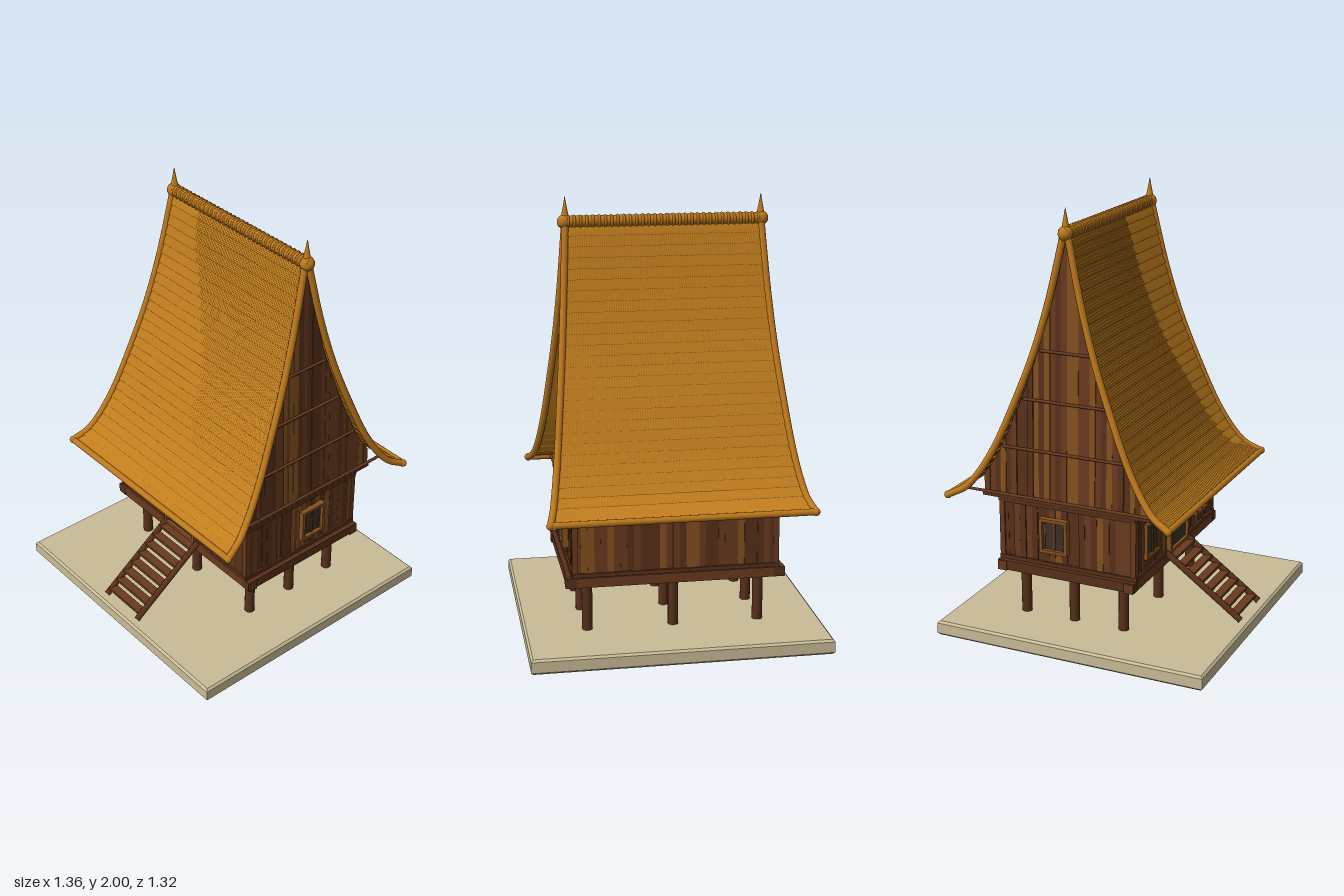
import * as THREE from 'three';

const mat = (name, color, side = THREE.FrontSide) => {
  const m = new THREE.MeshStandardMaterial({ color, side });
  m.name = name;
  return m;
};
const thatch = mat('thatch', 0xc27e1e, THREE.DoubleSide);
const bamboo = mat('bamboo', 0xbd781c);
const darkWood = mat('darkWood', 0x57301a);
const midWood = mat('midWood', 0x693a1e);
const lightWood = mat('lightWood', 0x84501f);
const pane = mat('pane', 0x3a3126);
const stone = mat('stone', 0xcabc98);

const CZ = -0.09; // ridge line of the house in z

// Roof section: distance from the ridge line, height
const profile = new THREE.CatmullRomCurve3([
  [0.012, 1.875], [0.075, 1.6], [0.145, 1.36], [0.232, 1.13], [0.335, 0.895],
  [0.415, 0.765], [0.47, 0.705], [0.545, 0.667],
].map(([d, y]) => new THREE.Vector3(0, y, d)));
const samples = profile.getSpacedPoints(120);
const halfWidth = (d) => 0.44 + 0.142 * d / 0.545;
function roofHeight(d) {
  const k = samples.findIndex((p) => p.z >= d);
  if (k < 1) return samples[0].y;
  const a = samples[k - 1], b = samples[k];
  return a.y + (b.y - a.y) * (d - a.z) / (b.z - a.z);
}

let seed = 7;
const rand = () => (seed = (seed * 16807) % 2147483647) / 2147483647;
const plankWood = () => {
  const r = rand();
  return r < 0.45 ? darkWood : r < 0.82 ? midWood : lightWood;
};

function add(parent, name, geometry, material, x = 0, y = 0, z = 0) {
  const mesh = new THREE.Mesh(geometry, material);
  mesh.name = name;
  mesh.position.set(x, y, z);
  parent.add(mesh);
  return mesh;
}
const box = (parent, name, material, w, h, d, x, y, z) =>
  add(parent, name, new THREE.BoxGeometry(w, h, d), material, x, y, z);

// Round pole between two points
function pole(parent, name, material, a, b, r, sides = 10) {
  const p = new THREE.Vector3(...a), q = new THREE.Vector3(...b);
  const dir = q.clone().sub(p);
  const mesh = add(parent, name, new THREE.CylinderGeometry(r, r, dir.length(), sides), material);
  mesh.position.copy(p).add(q).multiplyScalar(0.5);
  mesh.quaternion.setFromUnitVectors(new THREE.Vector3(0, 1, 0), dir.normalize());
  return mesh;
}

function group(parent, name) {
  const g = new THREE.Group();
  g.name = name;
  parent.add(g);
  return g;
}

// One slope: reeds running down, overlapping courses stepping outward
function slopeGeometry(s) {
  const reeds = 90, courses = 28, cols = reeds * 2;
  const pos = [], idx = [];
  for (let j = 0; j < courses * 2; j++) {
    const course = j >> 1, low = j & 1;
    const t = (course + low) / courses;
    const p = profile.getPointAt(t), tan = profile.getTangentAt(t);
    for (let i = 0; i <= cols; i++) {
      const off = (low ? 0.006 : 0) + (i & 1 ? 0.002 : -0.002);
      const x = (i / cols * 2 - 1) * halfWidth(p.z);
      pos.push(x, p.y + tan.z * off, CZ + s * (p.z - tan.y * off));
    }
  }
  const n = cols + 1;
  for (let j = 0; j < courses * 2 - 1; j++) {
    for (let i = 0; i < cols; i++) {
      const a = j * n + i, b = a + 1, c = a + n, d = c + 1;
      if (s > 0) idx.push(a, c, b, b, c, d);
      else idx.push(a, b, c, b, d, c);
    }
  }
  const g = new THREE.BufferGeometry();
  g.setAttribute('position', new THREE.Float32BufferAttribute(pos, 3));
  g.setIndex(idx);
  g.computeVertexNormals();
  return g;
}

function buildRoof(root) {
  const roof = group(root, 'roof');
  for (const s of [1, -1]) {
    add(roof, 'thatchSlope', slopeGeometry(s), thatch);
    const ez = CZ + s * 0.545;
    pole(roof, 'eavePole', bamboo, [-0.585, 0.667, ez], [0.585, 0.667, ez], 0.015);
    for (const m of [1, -1]) {
      const pts = samples.filter((_, i) => i % 8 === 0)
        .map((p) => new THREE.Vector3(m * halfWidth(p.z), p.y, CZ + s * p.z));
      const path = new THREE.CatmullRomCurve3(pts);
      add(roof, 'rakePole', new THREE.TubeGeometry(path, 40, 0.016, 10), bamboo);
      add(roof, 'poleKnob', new THREE.SphereGeometry(0.018, 12, 8), bamboo, m * 0.583, 0.667, ez);
    }
  }
  // Ridge roll with wrapped bindings
  pole(roof, 'ridgeRoll', bamboo, [-0.465, 1.89, CZ], [0.465, 1.89, CZ], 0.026, 16);
  for (let i = 0; i < 32; i++) {
    const ring = add(roof, 'ridgeBinding', new THREE.TorusGeometry(0.024, 0.007, 6, 16), bamboo,
      -0.43 + i * 0.86 / 31, 1.89, CZ);
    ring.rotation.y = Math.PI / 2;
  }
  // Spires at both ends of the ridge
  const spire = [[0.001, 0], [0.024, 0.01], [0.024, 0.03], [0.016, 0.05], [0.008, 0.09], [0.001, 0.13]]
    .map(([r, y]) => new THREE.Vector2(r, y));
  for (const m of [1, -1]) {
    add(roof, 'spire', new THREE.LatheGeometry(spire, 14), bamboo, m * 0.442, 1.87, CZ);
    add(roof, 'ridgeKnob', new THREE.SphereGeometry(0.033, 14, 10), bamboo, m * 0.445, 1.89, CZ);
  }
}

// Planked gable, leaning slightly inward
function buildGable(root, m) {
  const side = group(root, m > 0 ? 'leftGable' : 'rightGable');
  side.position.z = CZ;
  side.rotation.y = m > 0 ? 0 : Math.PI;
  const wall = group(side, 'gableWall');
  wall.position.set(0.462, 0.655, 0);
  wall.rotation.z = 0.03;
  const count = 30, w = 0.84 / count;
  const top = (d) => roofHeight(Math.abs(d)) - 0.655 - 0.012;
  for (let i = 0; i < count; i++) {
    const a = -0.42 + i * w, b = a + w;
    const shape = new THREE.Shape([[a, 0], [b, 0], [b, top(b)], [a, top(a)]].map((p) => new THREE.Vector2(...p)));
    const g = new THREE.ExtrudeGeometry(shape, { depth: 0.014, bevelEnabled: false }).rotateY(-Math.PI / 2);
    add(wall, 'gablePlank', g, plankWood(), rand() * 0.007);
  }
  for (const [y, d] of [[0.895, 0.32], [1.13, 0.215], [1.36, 0.13]]) {
    pole(wall, 'gableRail', midWood, [0.008, y - 0.655, -d], [0.008, y - 0.655, d], 0.007, 8);
  }
  box(wall, 'gableSill', darkWood, 0.024, 0.016, 0.85, 0, 0, 0);
  pole(wall, 'eaveTie', midWood, [0.008, 0.012, -0.535], [0.008, 0.012, 0.535], 0.007, 8);
}

// Run of vertical wall planks, facing local +z
function buildWall(root, name, length, x, z, turn) {
  const wall = group(root, name);
  wall.position.set(x, 0.35, z);
  wall.rotation.y = turn;
  const count = Math.round(length / 0.03), w = length / count;
  for (let i = 0; i < count; i++) {
    const px = -length / 2 + (i + 0.5) * w;
    box(wall, 'wallPlank', plankWood(), w, 0.295, 0.018, px, 0.147, -0.009 + rand() * 0.008);
  }
  box(wall, 'bottomRail', darkWood, length + 0.02, 0.018, 0.026, 0, 0.009, 0);
  box(wall, 'topRail', darkWood, length + 0.02, 0.018, 0.03, 0, 0.29, 0);
  return wall;
}

// Framed opening on a wall
function buildOpening(wall, name, x, y, w, h, depth, mullion) {
  const g = group(wall, name);
  g.position.set(x, y, 0);
  const t = 0.015;
  box(g, 'darkPane', pane, w - t, h - t, 0.008, 0, 0, 0.009);
  for (const s of [1, -1]) {
    box(g, 'frameUpright', lightWood, t, h, depth, s * (w - t) / 2, 0, depth / 2);
    box(g, 'frameRail', lightWood, w, t, depth, 0, s * (h - t) / 2, depth / 2);
    if (mullion) box(g, 'innerFrame', midWood, 0.008, h - 2 * t, 0.016, s * (w / 2 - t - 0.004), 0, 0.008);
  }
  if (mullion) box(g, 'mullion', midWood, 0.01, h - 2 * t, 0.018, 0, 0, 0.009);
}

function buildLadder(root) {
  const ladder = group(root, 'ladder');
  for (const m of [1, -1]) {
    pole(ladder, 'ladderRail', darkWood, [m * 0.118, 0.355, 0.25], [m * 0.118, 0.085, 0.625], 0.015);
  }
  for (let i = 0; i < 8; i++) {
    const t = (i + 0.5) / 8;
    box(ladder, 'tread', midWood, 0.23, 0.014, 0.042, 0, 0.35 - 0.255 * t, 0.255 + 0.36 * t);
  }
}

export function createModel() {
  const root = new THREE.Group();
  root.name = 'stiltHouse';

  // Ground slab with softened edges
  const slab = new THREE.Shape([[-0.67, -0.65], [0.67, -0.65], [0.67, 0.65], [-0.67, 0.65]]
    .map((p) => new THREE.Vector2(...p)));
  const slabGeo = new THREE.ExtrudeGeometry(slab, { depth: 0.05, bevelSize: 0.01, bevelThickness: 0.01, bevelSegments: 1 });
  add(root, 'groundSlab', slabGeo.rotateX(-Math.PI / 2), stone, 0, 0.01, 0);

  // Stilts
  for (const x of [-0.395, 0, 0.395]) {
    for (const z of [0.16, -0.09, -0.34]) pole(root, 'stilt', darkWood, [x, 0.07, z], [x, 0.31, z], 0.024, 14);
  }

  // Floor and its edge beams
  box(root, 'floor', midWood, 0.94, 0.03, 0.66, 0, 0.335, CZ);
  for (const s of [1, -1]) {
    box(root, 'longBeam', midWood, 1.0, 0.045, 0.045, 0, 0.324, CZ + s * 0.32);
    box(root, 'crossBeam', darkWood, 0.045, 0.045, 0.69, s * 0.472, 0.326, CZ);
  }

  // Walls with door and windows
  const front = buildWall(root, 'frontWall', 0.92, 0, 0.243, 0);
  buildWall(root, 'backWall', 0.92, 0, -0.423, Math.PI);
  for (const m of [1, -1]) {
    const side = buildWall(root, m > 0 ? 'leftWall' : 'rightWall', 0.66, m * 0.46, CZ, m * Math.PI / 2);
    buildOpening(side, 'sideWindow', m * 0.06, 0.153, 0.14, 0.165, 0.032, true);
    buildOpening(front, 'frontWindow', m * 0.295, 0.153, 0.15, 0.17, 0.022, true);
    for (const z of [0.24, -0.42]) box(root, 'cornerPost', midWood, 0.025, 0.295, 0.025, m * 0.458, 0.497, z);
    buildGable(root, m);
  }
  buildOpening(front, 'door', 0, 0.145, 0.22, 0.285, 0.027, false);

  buildLadder(root);
  buildRoof(root);
  return root;
}
